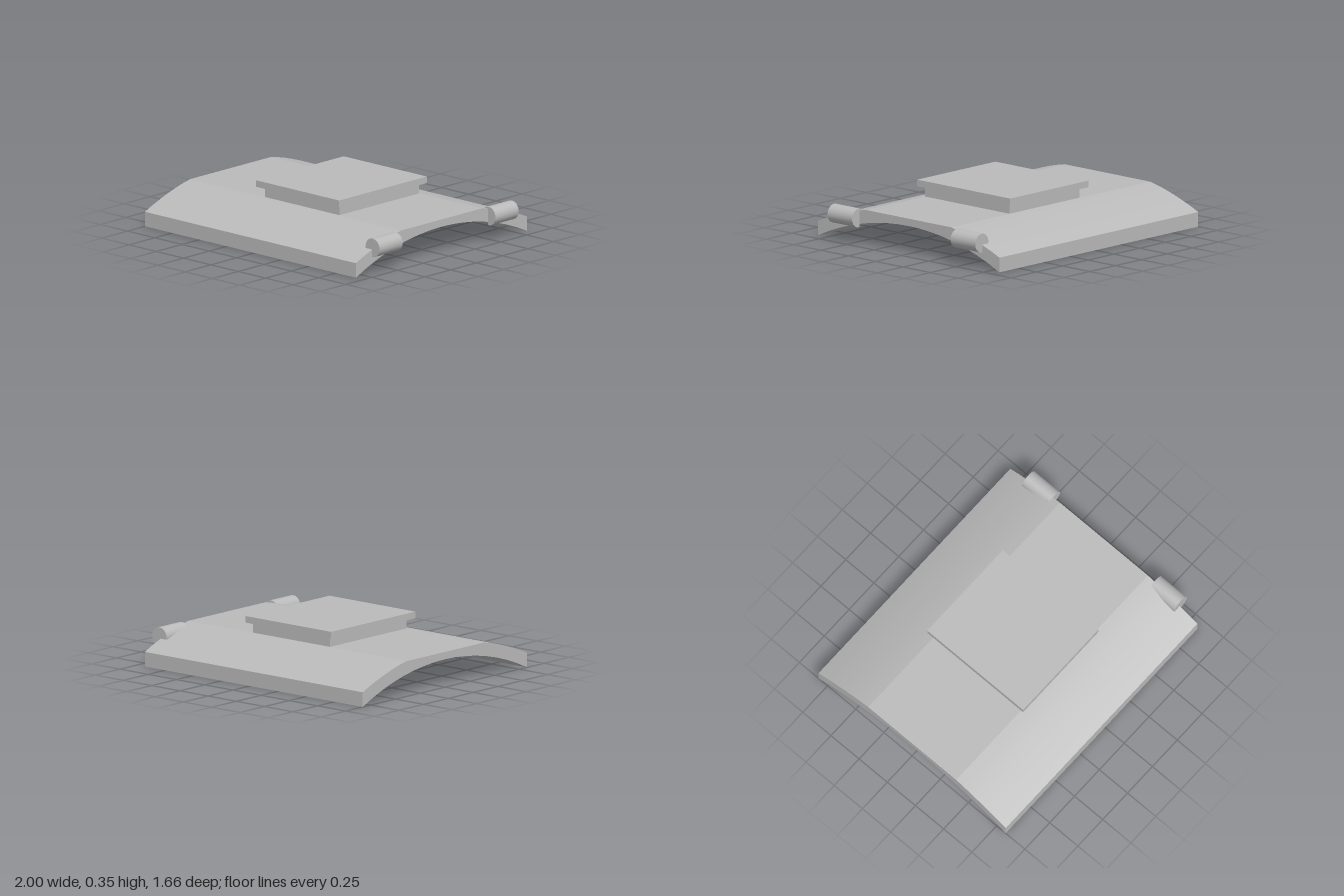
import * as THREE from 'three';
import { toCreasedNormals } from 'three/addons/utils/BufferGeometryUtils.js';

export function createModel() {
  const model = new THREE.Group();
  model.name = 'hingedCover';
  const grey = new THREE.MeshStandardMaterial({ color: 0xbababa });
  grey.name = 'grey';

  const add = (name, geometry) => {
    const mesh = new THREE.Mesh(geometry, grey);
    mesh.name = name;
    model.add(mesh);
    return mesh;
  };
  const extrude = (points, depth) =>
    new THREE.ExtrudeGeometry(new THREE.Shape(points), { depth, bevelEnabled: false });

  // Arched panel: flat crown with curved flanks above, one shallow arc below
  const halfTop = [[0.83, 0.1], [0.76, 0.13], [0.68, 0.16], [0.6, 0.187], [0.53, 0.208], [0.46, 0.226], [0.39, 0.24]];
  const profile = halfTop.map(([z, y]) => new THREE.Vector2(z, y));
  [...halfTop].reverse().forEach(([z, y]) => profile.push(new THREE.Vector2(-z, y)));
  const radius = 1.908, steps = 16;
  for (let i = 0; i <= steps; i++) {
    const z = -0.83 + (1.66 * i) / steps;
    profile.push(new THREE.Vector2(z, Math.max(0, Math.sqrt(radius * radius - z * z) - radius + 0.19)));
  }
  const panel = extrude(profile, 1.93);
  panel.rotateY(Math.PI / 2).translate(-1, 0, 0);
  add('archedPanel', toCreasedNormals(panel, 0.15));

  // Raised pad: narrower neck under a wider cap
  add('padNeck', new THREE.BoxGeometry(0.68, 0.08, 0.77)).position.set(0.02, 0.27, 0);
  add('padCap', new THREE.BoxGeometry(0.76, 0.045, 0.85)).position.set(0.015, 0.3325, 0);

  // Hinge barrels: rods notched where they sit over the panel edge
  const cx = 0.9365, cy = 0.1775, r = 0.0635;
  const barrel = [new THREE.Vector2(0.93, 0.165)];
  for (let i = 0; i <= 28; i++) {
    const a = -1.673 + (1.673 + Math.PI + 0.198) * (i / 28);
    barrel.push(new THREE.Vector2(cx + r * Math.cos(a), cy + r * Math.sin(a)));
  }
  for (const [name, z] of [['frontHinge', 0.45], ['backHinge', -0.675]]) {
    const hinge = toCreasedNormals(extrude(barrel, 0.225), 0.6);
    add(name, hinge).position.z = z;
  }
  return model;
}
